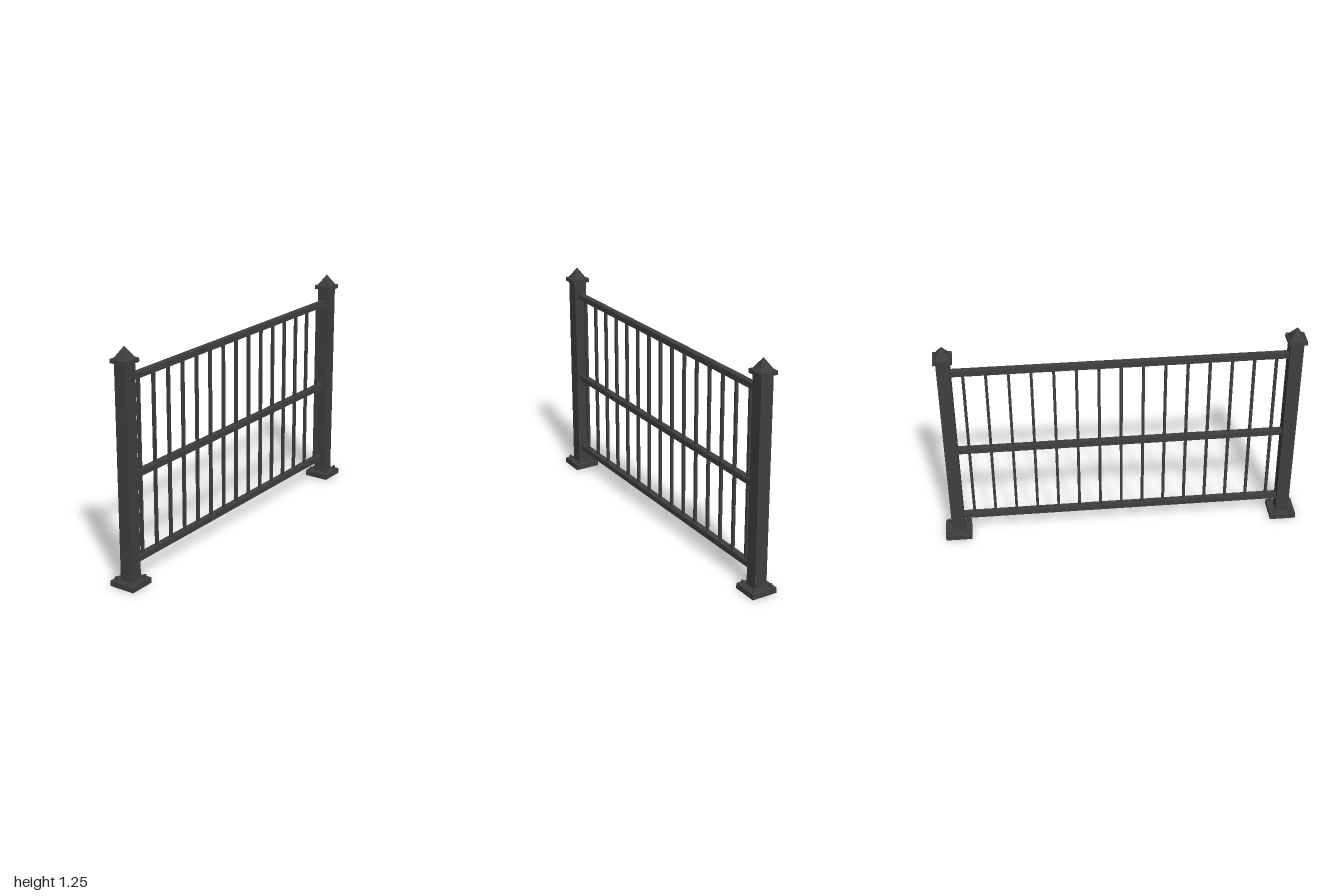
import * as THREE from 'three';

export function createModel() {
  const model = new THREE.Group();
  model.name = 'railing';
  const metal = new THREE.MeshStandardMaterial({ color: 0x3f3f3f });
  metal.name = 'dark grey metal';

  const add = (parent, name, geometry, x, y, z) => {
    const mesh = new THREE.Mesh(geometry, metal);
    mesh.name = name;
    mesh.position.set(x, y, z);
    parent.add(mesh);
  };
  // Box placed by its bottom and top heights
  const slab = (parent, name, w, y0, y1, d, x = 0) =>
    add(parent, name, new THREE.BoxGeometry(w, y1 - y0, d), x, (y0 + y1) / 2, 0);

  // Square pyramid finial, sides parallel to the post
  const finial = new THREE.ConeGeometry(0.08 / Math.SQRT2, 0.063, 4).toNonIndexed();
  finial.rotateY(Math.PI / 4);
  finial.computeVertexNormals();
  const bolt = new THREE.CylinderGeometry(0.0075, 0.0075, 0.02, 12);

  // End posts with base plate, bolts and cap
  for (const side of [-1, 1]) {
    const post = new THREE.Group();
    post.name = side > 0 ? 'leftPost' : 'rightPost';
    post.position.x = side * 0.927;
    slab(post, 'basePlate', 0.146, 0, 0.03, 0.146);
    slab(post, 'shaft', 0.072, 0.03, 1.173, 0.072);
    slab(post, 'capPlate', 0.1, 1.172, 1.193, 0.1);
    add(post, 'finial', finial, 0, 1.2235, 0);
    for (const bx of [-0.051, 0.051])
      for (const bz of [-0.051, 0.051]) add(post, 'bolt', bolt, bx, 0.039, bz);
    model.add(post);
  }

  // Horizontal rails between the posts
  const rails = [['bottomRail', 0.11, 0.141], ['middleRail', 0.566, 0.597], ['topRail', 1.074, 1.105]];
  for (const [name, y0, y1] of rails) slab(model, name, 1.784, y0, y1, 0.034);

  // Fifteen evenly spaced balusters
  for (let i = -7; i <= 7; i++) slab(model, 'baluster', 0.015, 0.125, 1.09, 0.015, i * 0.1186);

  return model;
}
